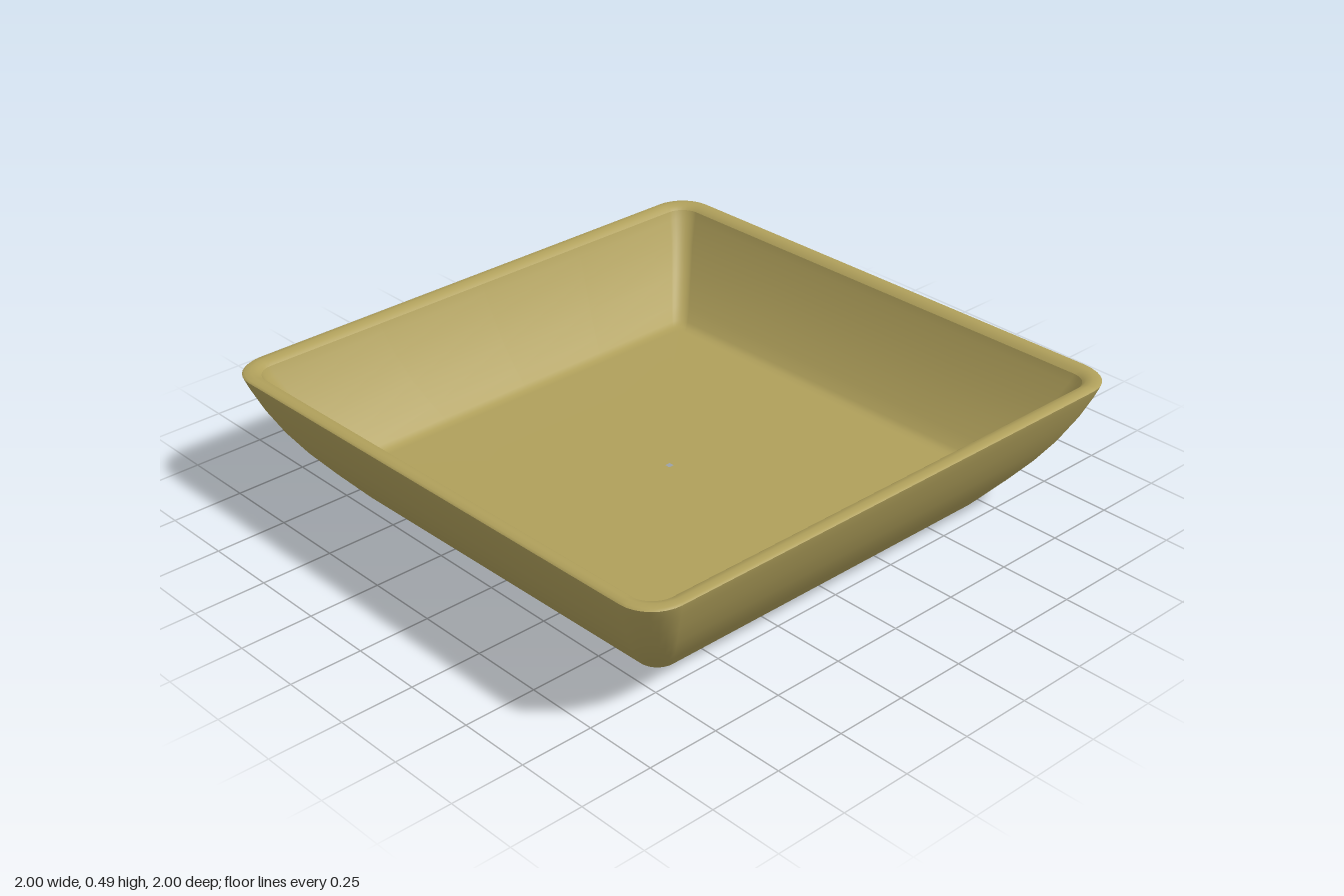
import * as THREE from 'three';

const CORNER_STEPS = 8;
const SIDE_STEPS = 4;

// Rounded square outline, running from +x towards +z
function ringPoints(half, radius) {
  const pts = [];
  const c = half - radius;
  for (let q = 0; q < 4; q++) {
    const rot = (q * Math.PI) / 2;
    const add = (x, z) => pts.push([
      x * Math.cos(rot) - z * Math.sin(rot),
      x * Math.sin(rot) + z * Math.cos(rot),
    ]);
    for (let i = 1; i < SIDE_STEPS; i++) add(half, -c + (2 * c * i) / SIDE_STEPS);
    for (let i = 0; i <= CORNER_STEPS; i++) {
      const a = (i / CORNER_STEPS) * Math.PI / 2;
      add(c + radius * Math.cos(a), c + radius * Math.sin(a));
    }
  }
  return pts;
}

// Skin a list of [half width, height, corner radius] rings
function loft(profile) {
  const pos = [], index = [];
  let n = 0;
  for (const [half, y, radius] of profile) {
    const ring = ringPoints(half, radius);
    n = ring.length;
    // the whole dish leans very slightly to one side
    for (const [x, z] of ring) pos.push(x, y + 0.0125 * x + 0.009, z);
  }
  for (let i = 0; i < profile.length - 1; i++) {
    for (let j = 0; j < n; j++) {
      const a = i * n + j, b = i * n + ((j + 1) % n);
      index.push(a, a + n, b, b, a + n, b + n);
    }
  }
  const g = new THREE.BufferGeometry();
  g.setAttribute('position', new THREE.Float32BufferAttribute(pos, 3));
  g.setIndex(index);
  g.computeVertexNormals();
  return g;
}

export function createModel() {
  const model = new THREE.Group();
  model.name = 'squareDish';
  const glaze = new THREE.MeshStandardMaterial({ color: 0xb0a05b });
  glaze.name = 'ochreGlaze';

  const add = (name, profile) => {
    const mesh = new THREE.Mesh(loft(profile), glaze);
    mesh.name = name;
    model.add(mesh);
  };

  // Recessed underside
  add('underside', [[0.01, 0.085, 0.002], [0.3, 0.085, 0.02], [0.62, 0.085, 0.03]]);

  // Foot edge around the recess
  add('foot', [[0.62, 0.085, 0.03], [0.65, 0.01, 0.04], [0.66, 0.001, 0.045], [0.68, 0, 0.05]]);

  // Curved outer wall, bulging gently up to the rim
  add('outerWall', [
    [0.68, 0, 0.05], [0.70, 0.006, 0.06], [0.72, 0.022, 0.065], [0.80, 0.115, 0.075],
    [0.86, 0.19, 0.085], [0.91, 0.265, 0.095], [0.955, 0.35, 0.105],
    [0.985, 0.42, 0.115], [0.997, 0.452, 0.12], [1.0, 0.463, 0.12],
  ]);

  // Narrow rounded lip
  add('rim', [
    [1.0, 0.463, 0.12], [0.994, 0.469, 0.118], [0.975, 0.471, 0.105],
    [0.955, 0.466, 0.085], [0.942, 0.455, 0.07],
  ]);

  // Inner wall running down into the flat floor
  add('innerBowl', [
    [0.942, 0.455, 0.07], [0.93, 0.425, 0.065], [0.89, 0.35, 0.055], [0.835, 0.26, 0.05],
    [0.77, 0.18, 0.045], [0.735, 0.143, 0.04], [0.715, 0.132, 0.035], [0.69, 0.13, 0.03],
    [0.35, 0.13, 0.02], [0.01, 0.13, 0.002],
  ]);

  return model;
}
